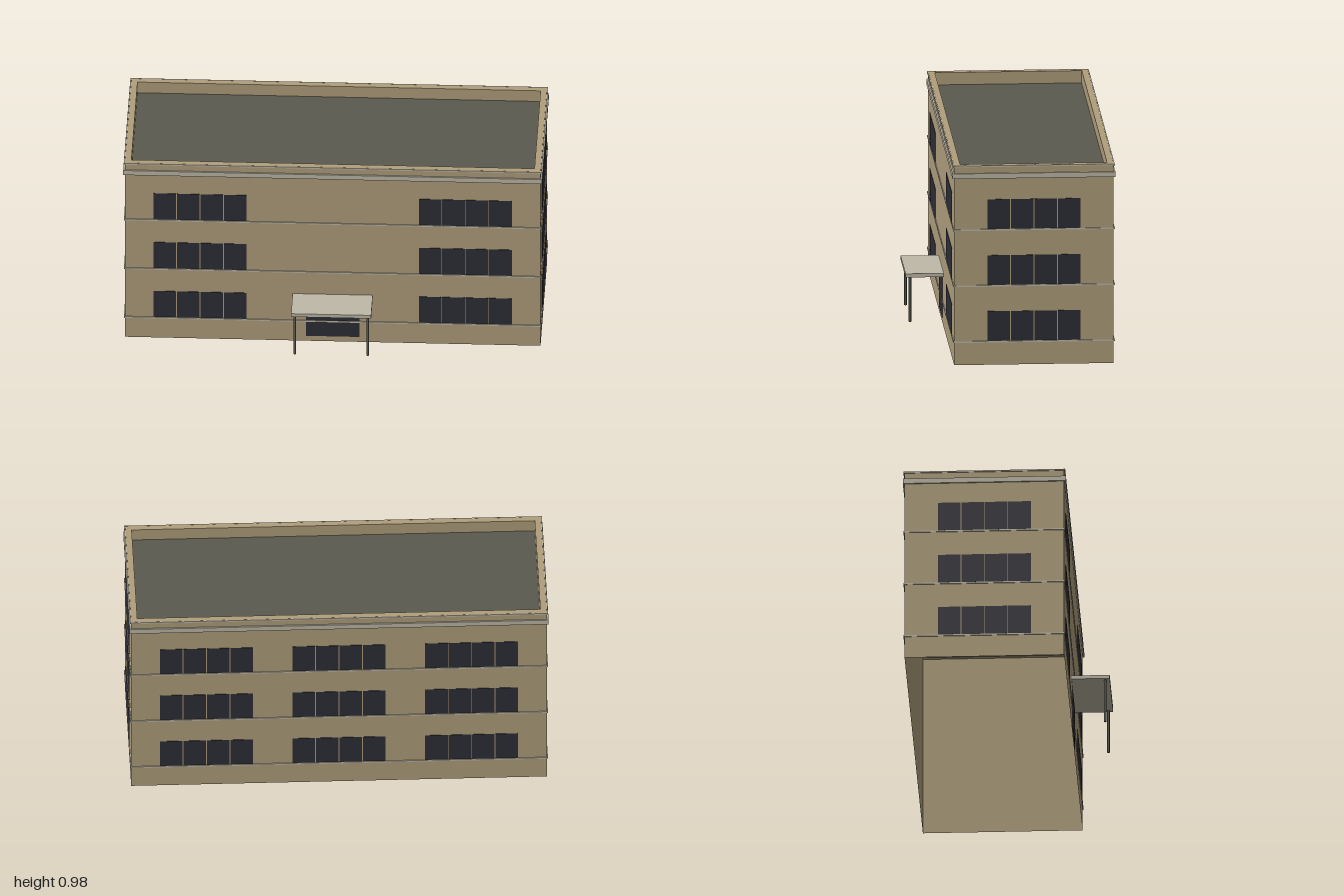
import * as THREE from 'three';

export function createModel() {
  const paint = (name, color, side = THREE.FrontSide) => {
    const m = new THREE.MeshStandardMaterial({ color, side });
    m.name = name;
    return m;
  };
  const tan = paint('tan wall', 0xb09f7c, THREE.DoubleSide);
  const stone = paint('pale stone', 0xc0b9a8);
  const glass = paint('dark glass', 0x2d2d37);
  const slate = paint('grey roof', 0x5a5a50);

  const HX = 0.992, HZ = 0.381, CZ = -0.086; // wall half sizes, wall centre in z
  const ROOF = 0.914, TOP = 0.976;

  const model = new THREE.Group();
  model.name = 'building';
  const body = new THREE.Group();
  body.name = 'mainBlock';
  body.position.z = CZ;
  model.add(body);

  const add = (parent, name, geometry, material, x, y, z) => {
    const mesh = new THREE.Mesh(geometry, material);
    mesh.name = name;
    mesh.position.set(x, y, z);
    parent.add(mesh);
    return mesh;
  };

  // Rectangular ring around the block; outer and inner are offsets from the wall
  const ring = (name, outer, inner, y0, y1, material) => {
    const rect = (path, o) => {
      const x = HX + o, z = HZ + o;
      path.moveTo(-x, -z).lineTo(x, -z).lineTo(x, z).lineTo(-x, z).closePath();
      return path;
    };
    const shape = rect(new THREE.Shape(), outer);
    shape.holes.push(rect(new THREE.Path(), inner));
    const g = new THREE.ExtrudeGeometry(shape, { depth: y1 - y0, bevelEnabled: false });
    g.rotateX(-Math.PI / 2);
    add(body, name, g, material, 0, y0, 0);
  };

  // Four facades: wall sheet and three storeys of four-pane windows
  const PITCH = 0.112, PANE = 0.108, PANE_H = 0.145;
  const pane = new THREE.BoxGeometry(PANE, PANE_H, 0.002);
  const facades = [
    ['front', 0, HX, HZ, [-0.633, 0.633]],
    ['left', Math.PI / 2, HZ, HX, [0]],
    ['back', Math.PI, HX, HZ, [-0.633, 0, 0.633]],
    ['right', -Math.PI / 2, HZ, HX, [0]],
  ];
  for (const [name, angle, half, distance, centres] of facades) {
    const side = new THREE.Group();
    side.name = name + 'Facade';
    side.rotation.y = angle;
    body.add(side);
    add(side, name + 'Wall', new THREE.PlaneGeometry(half * 2, ROOF), tan, 0, ROOF / 2, distance);
    for (const c of centres)
      for (const sill of [0.117, 0.391, 0.665])
        for (let i = 0; i < 4; i++)
          add(side, 'windowPane', pane, glass, c + (i - 1.5) * PITCH, sill + PANE_H / 2, distance + 0.002);
  }

  // Sill bands, cornice, parapet and its coping band
  for (const y of [0.109, 0.383, 0.657]) ring('sillBand', 0.005, 0.0005, y, y + 0.007, stone);
  ring('cornice', 0.008, 0.0005, 0.913, 0.938, stone);
  ring('parapet', 0, -0.03, ROOF, TOP, tan);
  ring('copingBand', 0.005, 0.0005, 0.969, TOP, stone);

  // Flat roof inside the parapet
  add(body, 'roof', new THREE.BoxGeometry((HX - 0.02) * 2, 0.004, (HZ - 0.02) * 2), slate, 0, ROOF, 0);

  // Entrance: door, canopy and two posts
  const front = CZ + HZ;
  add(model, 'door', new THREE.BoxGeometry(0.256, 0.195, 0.002), glass, 0, 0.1265, front + 0.002);
  add(model, 'canopy', new THREE.BoxGeometry(0.382, 0.018, 0.192), stone, 0, 0.254, 0.381);
  for (const s of [-1, 1])
    add(model, 'canopyPost', new THREE.CylinderGeometry(0.0065, 0.0065, 0.221, 8), slate, s * 0.174, 0.1355, 0.455);

  return model;
}
